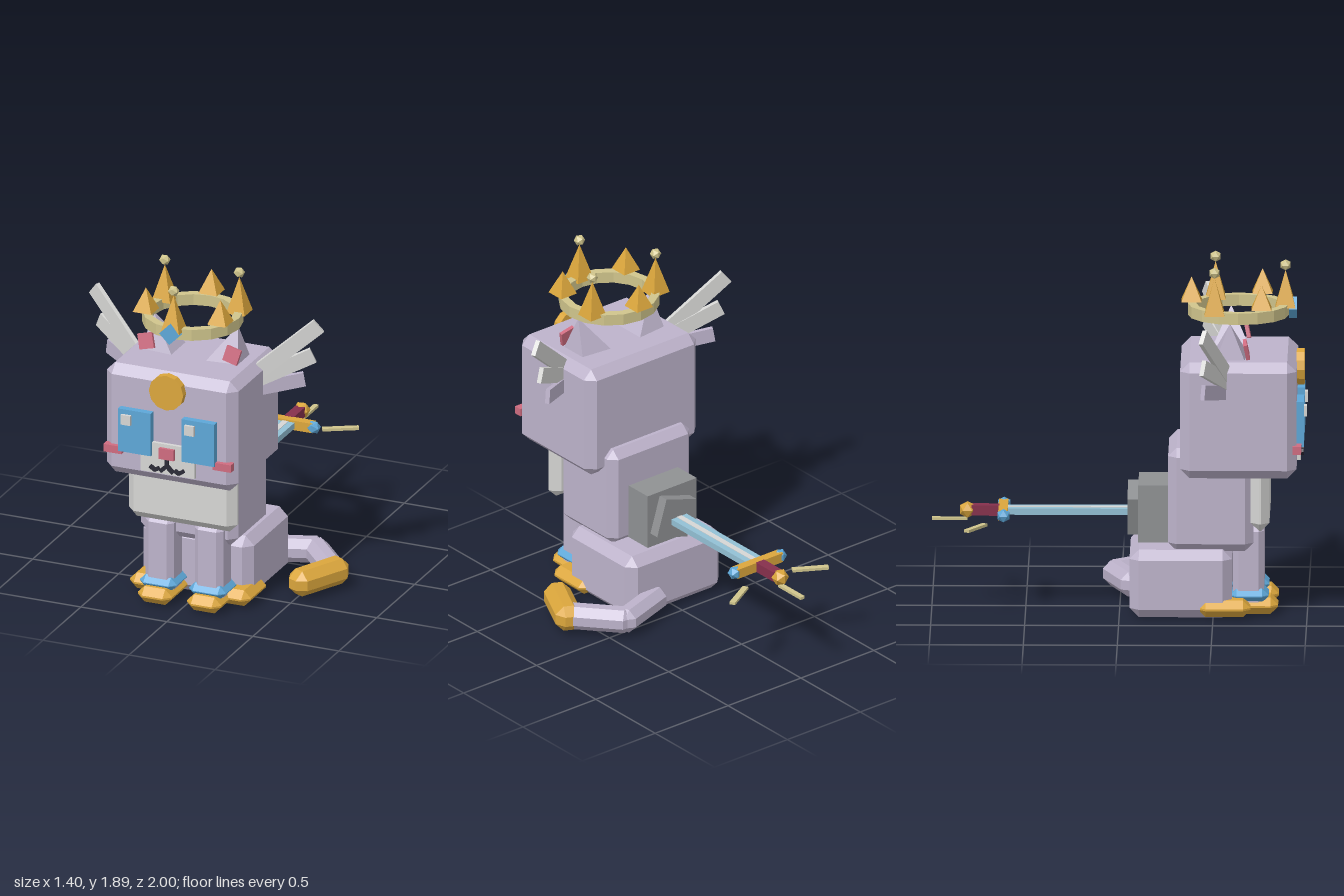
import * as THREE from 'three';
import { ConvexGeometry } from 'three/addons/geometries/ConvexGeometry.js';

const paint = (name, color) => {
  const m = new THREE.MeshStandardMaterial({ color, flatShading: true });
  m.name = name;
  return m;
};

// Box with flat-cut edges and corners
function chamferBox(w, h, d, c) {
  const pts = [];
  for (const x of [-1, 1]) for (const y of [-1, 1]) for (const z of [-1, 1]) {
    const X = x * w / 2, Y = y * h / 2, Z = z * d / 2;
    pts.push(new THREE.Vector3(X, Y - y * c, Z - z * c));
    pts.push(new THREE.Vector3(X - x * c, Y, Z - z * c));
    pts.push(new THREE.Vector3(X - x * c, Y - y * c, Z));
  }
  return new ConvexGeometry(pts);
}

export function createModel() {
  const lilac = paint('lilac fur', 0xbdb3cb), white = paint('pale fur', 0xd6d6d4);
  const gold = paint('gold', 0xdba63c), blue = paint('blue', 0x5da7d8);
  const pink = paint('pink', 0xcf6c80), dark = paint('dark line', 0x2b2a36);
  const grey = paint('grey metal', 0x8f9193), maroon = paint('maroon grip', 0x86304c);
  const beige = paint('pale gold', 0xd0c58c), steel = paint('blue steel', 0x93c0d5);

  const model = new THREE.Group();
  const cat = new THREE.Group();
  cat.name = 'cat';
  cat.position.x = -0.012;
  model.add(cat);

  const add = (name, geo, mat, x, y, z) => {
    const m = new THREE.Mesh(geo, mat);
    m.name = name;
    m.position.set(x, y, z);
    cat.add(m);
    return m;
  };
  // Box from its ranges on each axis, optionally chamfered
  const block = (name, mat, [x0, x1], [y0, y1], [z0, z1], c = 0) => {
    const w = x1 - x0, h = y1 - y0, d = z1 - z0;
    const geo = c ? chamferBox(w, h, d, c) : new THREE.BoxGeometry(w, h, d);
    return add(name, geo, mat, (x0 + x1) / 2, (y0 + y1) / 2, (z0 + z1) / 2);
  };
  // Bar running from point a to point b
  const beam = (name, mat, a, b, h, t, c = 0) => {
    const A = new THREE.Vector3(...a), B = new THREE.Vector3(...b);
    const d = B.clone().sub(A), len = d.length();
    const geo = c ? chamferBox(len, h, t, c) : new THREE.BoxGeometry(len, h, t);
    const mid = A.add(B).multiplyScalar(0.5);
    const m = add(name, geo, mat, mid.x, mid.y, mid.z);
    m.rotation.set(0, Math.atan2(-d.z, d.x), Math.asin(d.y / len), 'YZX');
    return m;
  };

  // Head and torso
  block('head', lilac, [-0.383, 0.383], [0.775, 1.405], [0.325, 0.945], 0.05);
  block('torso', lilac, [-0.283, 0.283], [0.36, 0.92], [0.26, 0.715], 0.045);
  block('chest', white, [-0.315, 0.315], [0.475, 0.86], [0.70, 0.80], 0.045);
  block('haunches', lilac, [-0.322, 0.322], [0.005, 0.372], [0.055, 0.60], 0.05);

  for (const s of [-1, 1]) {
    // Legs and paws
    const span = (c, w) => [s * c - w / 2, s * c + w / 2];
    block('frontLeg', lilac, span(0.143, 0.165), [0.04, 0.49], [0.605, 0.77], 0.03);
    block('ankleCuff', blue, span(0.143, 0.215), [0.075, 0.15], [0.59, 0.795], 0.035);
    block('frontPaw', gold, span(0.143, 0.2), [0.01, 0.1], [0.56, 0.845], 0.04);
    block('hindPaw', gold, span(0.262, 0.18), [0.015, 0.105], [0.42, 0.70], 0.04);

    // Ears with pink insides
    const ear = add('ear', new THREE.ConeGeometry(0.165, 0.27, 4, 1).rotateY(Math.PI / 4),
      lilac, s * 0.214, 1.465, 0.59);
    ear.rotation.z = -s * 0.24;
    const inner = add('innerEar', new THREE.BoxGeometry(0.085, 0.085, 0.02), pink, s * 0.25, 1.458, 0.677);
    inner.rotation.set(-0.2, 0, -s * 0.245);

    // Feather fan at the side of the head
    beam('upperFeather', white, [s * 0.34, 1.33, 0.58], [s * 0.653, 1.61, 0.45], 0.085, 0.025);
    beam('middleFeather', white, [s * 0.34, 1.295, 0.58], [s * 0.62, 1.435, 0.45], 0.085, 0.025);
    beam('lowerFeather', lilac, [s * 0.34, 1.245, 0.58], [s * 0.57, 1.29, 0.45], 0.08, 0.025);

    // Eyes and cheeks
    block('eye', blue, span(0.185, 0.19), [0.935, 1.18], [0.94, 0.983]);
    const glint = s * 0.184 - 0.045;
    block('eyeGlint', white, [glint - 0.028, glint + 0.028], [1.097, 1.153], [0.975, 1.0]);
    block('cheek', pink, span(0.318, 0.105), [0.912, 0.955], [0.925, 0.97]);

    // Mouth curls
    beam('mouthStroke', dark, [0, 0.89, 0.972], [s * 0.038, 0.855, 0.972], 0.022, 0.016);
    beam('mouthStroke', dark, [s * 0.045, 0.872, 0.972], [s * 0.073, 0.855, 0.972], 0.02, 0.016);
    beam('mouthStroke', dark, [s * 0.068, 0.856, 0.972], [s * 0.098, 0.877, 0.972], 0.02, 0.016);
  }

  // Muzzle, nose and forehead disc
  block('muzzle', white, [-0.158, 0.158], [0.838, 1.01], [0.93, 0.965]);
  block('nose', pink, [-0.043, 0.043], [0.928, 0.99], [0.95, 0.982]);
  block('mouthLine', dark, [-0.01, 0.01], [0.88, 0.93], [0.96, 0.98]);
  add('foreheadDisc', new THREE.CylinderGeometry(0.1, 0.1, 0.042, 12).rotateX(Math.PI / 2),
    gold, 0, 1.315, 0.963);

  // Crown: band, six spikes with a ball on every second one, front gem
  const crownZ = 0.632;
  const band = [[0.225, 1.595], [0.27, 1.595], [0.27, 1.657], [0.225, 1.657], [0.225, 1.595]];
  add('crownBand', new THREE.LatheGeometry(band.map(p => new THREE.Vector2(...p)), 16), beige, 0, 0, crownZ);
  for (let i = 0; i < 6; i++) {
    const a = i * Math.PI / 3, tall = i % 2 === 0;
    const x = 0.25 * Math.sin(a), z = crownZ + 0.25 * Math.cos(a);
    const h = tall ? 0.2 : 0.13;
    add('crownSpike', new THREE.ConeGeometry(0.076, h, 4).rotateY(Math.PI / 4),
      gold, x, (tall ? 1.64 : 1.672) + h / 2, z);
    if (tall) add('crownBall', new THREE.IcosahedronGeometry(0.031), beige, x, 1.866, z);
  }
  add('crownGem', new THREE.BoxGeometry(0.082, 0.082, 0.042), blue, 0, 1.635, 0.922).rotation.z = Math.PI / 4;

  // Tail curling round to a gold tip
  beam('tailBase', lilac, [0.1, 0.097, 0.08], [0.47, 0.097, -0.045], 0.135, 0.135, 0.042);
  beam('tailMiddle', lilac, [0.4, 0.097, -0.06], [0.655, 0.097, 0.23], 0.135, 0.135, 0.042);
  beam('tailTip', gold, [0.668, 0.097, 0.135], [0.506, 0.097, 0.465], 0.145, 0.145, 0.045);

  // Sword mount on the back
  block('mountBase', grey, [-0.168, 0.168], [0.39, 0.70], [0.1, 0.27]);
  add('mountPlate', new THREE.BoxGeometry(0.215, 0.215, 0.085), grey, 0.015, 0.542, 0.085).rotation.z = 0.3;

  // Sword pointing into the mount
  block('blade', steel, [-0.052, 0.052], [0.513, 0.547], [-0.61, 0.08]);
  block('bladeRidge', white, [-0.016, 0.016], [0.51, 0.55], [-0.61, 0.08]);
  block('swordGuard', gold, [-0.155, 0.155], [0.503, 0.557], [-0.645, -0.595]);
  for (const s of [-1, 1])
    add('guardGem', new THREE.IcosahedronGeometry(0.038), blue, s * 0.155, 0.53, -0.617);
  block('swordGrip', maroon, [-0.028, 0.028], [0.502, 0.558], [-0.79, -0.64]);
  add('pommel', new THREE.IcosahedronGeometry(0.047), gold, 0, 0.53, -0.81);

  // Thin streamers fanning out by the pommel
  beam('streamer', beige, [0, 0.482, -0.81], [0, 0.482, -1.0], 0.015, 0.028);
  for (const s of [-1, 1])
    beam('streamer', beige, [s * 0.16, 0.482, -0.715], [s * 0.33, 0.482, -0.812], 0.015, 0.032);

  return model;
}
